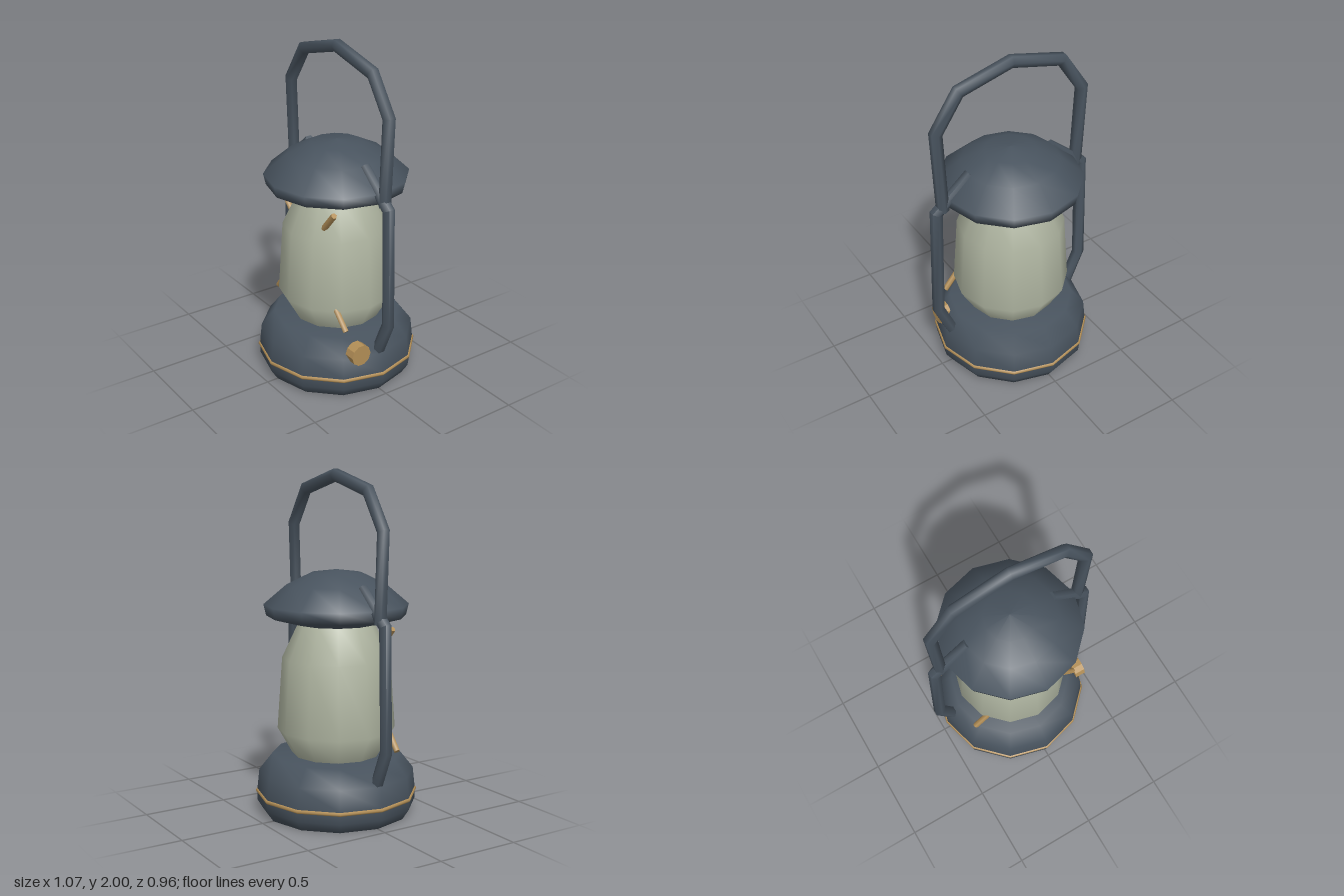
import * as THREE from 'three';
import { toCreasedNormals } from 'three/addons/utils/BufferGeometryUtils.js';

const slate = new THREE.MeshStandardMaterial({ name: 'slate metal', color: 0x48535e });
const glass = new THREE.MeshStandardMaterial({ name: 'frosted glass', color: 0xb0b6a2 });
const brass = new THREE.MeshStandardMaterial({ name: 'brass', color: 0xb38f57 });

const SIDES = 12;

// Twelve-sided turned part from [radius, height] pairs, bottom to top
function turned(profile) {
  return new THREE.LatheGeometry(profile.map(([r, y]) => new THREE.Vector2(r, y)), SIDES);
}

// Six-sided rod with mitred bends along [x, y] points in the z = 0 plane
function bentRod(points, radius) {
  const path = points.map(([x, y]) => new THREE.Vector2(x, y));
  const last = path.length - 1;
  const geo = new THREE.CylinderGeometry(radius, radius, 1, 6, last);
  const pos = geo.attributes.position;
  for (let i = 0; i < pos.count; i++) {
    const k = Math.round((0.5 - pos.getY(i)) * last);
    const a = path[Math.max(k - 1, 0)].clone().sub(path[Math.max(k, 1)]).normalize();
    const b = path[Math.min(k, last - 1)].clone().sub(path[Math.min(k + 1, last)]).normalize();
    const dir = a.clone().add(b).normalize();
    const side = pos.getX(i) / dir.dot(a);
    pos.setXYZ(i, path[k].x + dir.y * side, path[k].y - dir.x * side, pos.getZ(i));
  }
  return toCreasedNormals(geo, 1.2);
}

export function createModel() {
  const model = new THREE.Group();
  model.name = 'lantern';
  const add = (name, geometry, material) => {
    const mesh = new THREE.Mesh(geometry, material);
    mesh.name = name;
    model.add(mesh);
    return mesh;
  };

  // Fuel base, glass globe and domed cap
  add('base', turned([[0, 0], [0.43, 0], [0.468, 0.06], [0.468, 0.13], [0.455, 0.25], [0.375, 0.35], [0, 0.35]]), slate);
  add('globe', turned([[0.25, 0.33], [0.26, 0.35], [0.345, 0.5], [0.315, 0.92], [0.22, 1.12], [0.21, 1.14]]), glass);
  add('cap', turned([[0, 1.12], [0.24, 1.12], [0.405, 1.165], [0.42, 1.23], [0.285, 1.345], [0.15, 1.41], [0, 1.43]]), slate);

  // Brass band around the base
  const band = add('baseBand', new THREE.TorusGeometry(0.466, 0.012, 6, SIDES), brass);
  band.rotation.x = Math.PI / 2;
  band.position.y = 0.12;

  // Side frame rods, running from inside the cap to the base
  for (const s of [1, -1]) {
    const points = [[0.265, 1.338], [0.487, 1.155], [0.505, 0.46], [0.415, 0.25]];
    add(s > 0 ? 'leftFrame' : 'rightFrame', bentRod(points.map(([x, y]) => [s * x, y]), 0.036), slate);
  }

  // Carrying handle
  const half = [[0.447, 1.165], [0.469, 1.67], [0.325, 1.882], [0, 1.964]];
  const mirrored = half.slice(0, -1).reverse().map(([x, y]) => [-x, y]);
  add('handle', bentRod([...half, ...mirrored], 0.037), slate).position.z = -0.004;

  // Crossed wire guard passing through the globe
  for (const s of [1, -1]) {
    const top = new THREE.Vector3(-s * 0.27, 1.1, 0.207);
    const bottom = new THREE.Vector3(s * 0.355, 0.405, 0.185);
    const span = top.clone().sub(bottom);
    const wire = add(s > 0 ? 'guardWireA' : 'guardWireB', new THREE.CylinderGeometry(0.018, 0.018, span.length(), 6), brass);
    wire.position.copy(top).add(bottom).multiplyScalar(0.5);
    wire.quaternion.setFromUnitVectors(new THREE.Vector3(0, 1, 0), span.normalize());
  }

  // Wick adjusting knob
  const knob = add('wickKnob', toCreasedNormals(new THREE.CylinderGeometry(0.064, 0.064, 0.066, 10), 0.5), brass);
  knob.rotation.z = Math.PI / 2;
  knob.position.set(0.412, 0.277, 0.14);

  return model;
}
